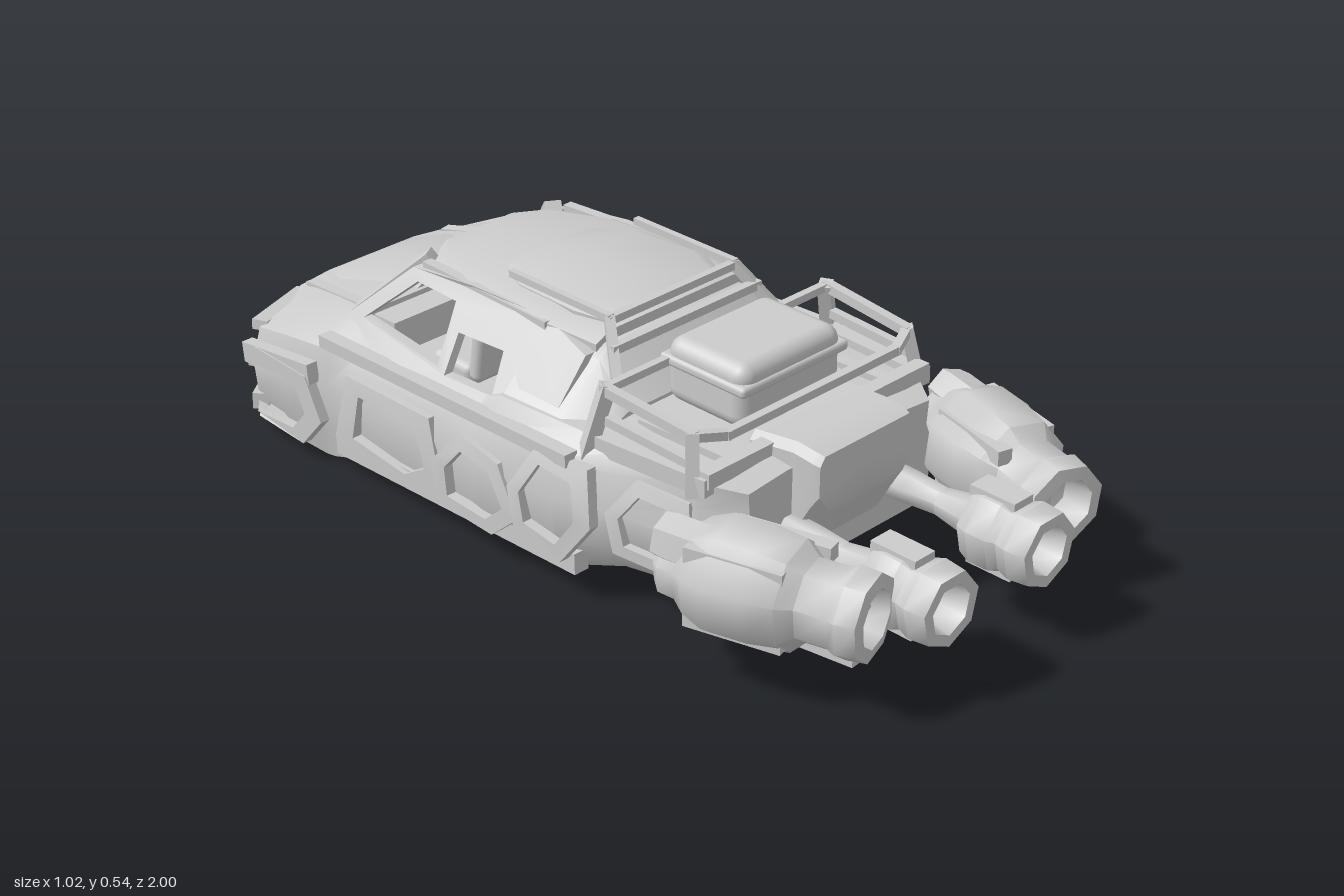
import * as THREE from 'three';
import { toCreasedNormals } from 'three/addons/utils/BufferGeometryUtils.js';
import { RoundedBoxGeometry } from 'three/addons/geometries/RoundedBoxGeometry.js';

const grey = new THREE.MeshStandardMaterial({ color: 0xcccccc, side: THREE.DoubleSide });

function add(parent, name, geometry, crease = 0.6) {
  const mesh = new THREE.Mesh(crease ? toCreasedNormals(geometry, crease) : geometry, grey);
  mesh.name = name;
  parent.add(mesh);
  return mesh;
}

// Closed skin through mirrored half sections: [z, [x, y], ...] from bottom centre to top centre
function loft(sections) {
  const pos = [], index = [];
  const rings = sections.map(([z, ...half]) => {
    const back = half.slice(1, -1).reverse().map(([x, y]) => [-x, y]);
    return [...half, ...back].map(([x, y]) => [x, y, z]);
  });
  const n = rings[0].length;
  rings.forEach(r => r.forEach(p => pos.push(...p)));
  for (let k = 0; k < rings.length - 1; k++) {
    for (let i = 0; i < n; i++) {
      const a = k * n + i, b = k * n + (i + 1) % n;
      index.push(a, b, a + n, b, b + n, a + n);
    }
  }
  for (const k of [0, rings.length - 1]) {
    const c = pos.length / 3;
    pos.push(0, rings[k].reduce((s, p) => s + p[1], 0) / n, rings[k][0][2]);
    for (let i = 0; i < n; i++) {
      const a = k * n + i, b = k * n + (i + 1) % n;
      if (k) index.push(c, a, b); else index.push(c, b, a);
    }
  }
  const g = new THREE.BufferGeometry();
  g.setAttribute('position', new THREE.Float32BufferAttribute(pos, 3));
  g.setIndex(index);
  return g;
}

// Hull section: floor half width and height, widest half width, shoulder height, deck edge;
// between the hood and the bulkhead the middle drops into the cabin well
function hullSection([z, wb, yb, w, ys, wt, yt]) {
  const well = z > -.62 && z < -.09;
  const yi = well ? .2 : yt + .01, wi = wt * (well ? .85 : .6);
  return [z, [0, yb], [wb, yb], [w - .01, yb + (ys - yb) * .28], [w, yb + (ys - yb) * .68], [w - .025, ys], [wt, yt], [wi, yi], [0, yi]];
}

// Straight bar between two points
function bar(parent, name, a, b, w = 0.02, h = w) {
  const A = new THREE.Vector3(...a), B = new THREE.Vector3(...b);
  const m = add(parent, name, new THREE.BoxGeometry(w, h, A.distanceTo(B) + w * 0.6));
  m.position.copy(A).lerp(B, 0.5);
  m.lookAt(B);
}

// Side plate drawn in (z, y) with holes; lean(y, z) gives its distance from the centre line
function sidePlate(parent, name, s, outline, holes, lean) {
  const depth = .025, toV = ([z, y]) => new THREE.Vector2(-z, y);
  const shape = new THREE.Shape(outline.map(toV));
  shape.holes = holes.map(h => new THREE.Path(h.map(toV)));
  const g = new THREE.ExtrudeGeometry(shape, { depth, bevelEnabled: false });
  g.rotateY(Math.PI / 2);
  const p = g.attributes.position;
  for (let i = 0; i < p.count; i++) {
    const f = lean(p.getY(i), p.getZ(i));
    p.setX(i, s > 0 ? f + p.getX(i) : -f - depth + p.getX(i));
  }
  add(parent, name, g);
}

// Turned part running from point a towards point b, profile in [radius, distance]
function turned(parent, name, profile, a, b, sides) {
  const g = new THREE.LatheGeometry(profile.map(p => new THREE.Vector2(...p)), sides);
  const m = add(parent, name, g, 0.9);
  m.position.set(...a);
  const along = new THREE.Vector3(...b).sub(m.position).normalize();
  m.quaternion.setFromUnitVectors(new THREE.Vector3(0, 1, 0), along);
}

const scaled = (pts, k) => {
  const c = [0, 1].map(j => pts.reduce((t, p) => t + p[j], 0) / pts.length);
  return pts.map(p => p.map((v, j) => c[j] + (v - c[j]) * k));
};
const slab = (z, w, y, t) => [z, [0, y - t], [w, y - t], [w, y - t / 2], [w * .82, y], [0, y]];
const tail = (z, w, y0, y1) => [z, [0, y0], [w * .8, y0], [w, y0 + .04], [w, y1 - .02], [w * .9, y1], [0, y1]];

export function createModel() {
  const car = new THREE.Group();
  car.name = 'hoverCar';

  // Hull with an open cabin well
  add(car, 'hull', loft([
    [-.975, .16, .05, .20, .17, .15, .20],
    [-.94, .28, .03, .32, .21, .22, .265],
    [-.86, .37, .01, .43, .25, .30, .285],
    [-.75, .40, 0, .435, .27, .30, .31],
    [-.64, .40, 0, .43, .28, .32, .33],
    [-.61, .40, .005, .42, .285, .33, .33],
    [-.53, .39, .025, .42, .285, .34, .33],
    [-.12, .39, .02, .43, .30, .37, .34],
    [-.07, .39, .025, .44, .31, .37, .36],
    [.16, .37, .04, .44, .32, .36, .365],
    [.28, .34, .075, .40, .31, .35, .355],
    [.48, .31, .09, .365, .30, .34, .36],
    [.57, .25, .10, .30, .29, .28, .345],
  ].map(hullSection)), 0.6);

  // Rear of the cabin, roof shell and its raised panel
  const rearCabin = (z, w, y) => [z, [0, .33], [.36, .33], [.36, .36], [w, y - .02], [w * .85, y], [0, y]];
  add(car, 'cabinRear', loft([rearCabin(-.07, .25, .49), rearCabin(.1, .24, .48), rearCabin(.2, .3, .38)]));
  add(car, 'roof', loft([slab(-.54, .12, .48, .025), slab(-.48, .19, .49, .03), slab(-.32, .23, .508, .035),
    slab(-.08, .25, .515, .04), slab(.08, .23, .505, .04)]));
  add(car, 'roofPanel', loft([slab(-.3, .14, .515, .02), slab(-.2, .19, .53, .03), slab(-.02, .20, .537, .035), slab(.06, .17, .525, .03)]));

  // Hood panel, vent, windscreen base and nose guard
  add(car, 'hoodPanel', loft([slab(-.94, .15, .275, .02), slab(-.85, .19, .305, .03), slab(-.7, .16, .335, .03), slab(-.61, .15, .35, .03)]));
  bar(car, 'hoodVent', [-.09, .342, -.70], [.09, .342, -.70], .012, .016);
  bar(car, 'cowl', [-.27, .33, -.625], [.27, .33, -.625], .05, .025);
  bar(car, 'lowerBumper', [-.16, .065, -.97], [.16, .065, -.97], .04, .045);
  bar(car, 'guardTop', [-.15, .20, -.985], [.15, .20, -.985], .028);
  bar(car, 'guardBottom', [-.11, .105, -.985], [.11, .105, -.985], .028);

  // Dashboard and seats
  bar(car, 'dashboard', [-.25, .29, -.57], [.25, .29, -.57], .08);
  for (const z of [-.38, -.17]) for (const s of [-1, 1]) {
    const seat = add(car, 'seat', new RoundedBoxGeometry(.16, .06, .13, 2, .02), 0);
    seat.position.set(s * .13, .23, z - .04);
    const back = add(car, 'seatBack', new RoundedBoxGeometry(.15, .16, .04, 2, .018), 0);
    back.position.set(s * .13, .30, z + .04);
    back.rotation.x = .15;
  }

  for (const s of [-1, 1]) {
    const P = (x, y, z) => [s * x, y, z];

    // Window frames leaning in towards the roof
    sidePlate(car, 'windowFrame', s,
      [[-.66, .315], [-.5, .47], [-.3, .495], [-.06, .50], [.08, .47], [.08, .34], [-.1, .325], [-.4, .32]],
      [[[-.58, .345], [-.46, .455], [-.32, .46], [-.28, .35]], [[-.25, .34], [-.27, .415], [-.13, .42], [-.10, .345]]],
      (y, z) => .355 - (y - .33) * .85 - Math.max(0, -z - .4) * .25);
    bar(car, 'pillar', P(.28, .325, -.645), P(.19, .475, -.50), .04, .03);
    bar(car, 'dripRail', P(.215, .475, -.47), P(.24, .485, -.06), .025);

    // Recessed door, wheel-bay and quarter frames
    const sideFrame = (name, pts, x) => sidePlate(car, name, s, pts, [scaled(pts, .68)], (y, z) => x(z) - Math.max(0, y - .24) * .4);
    sideFrame('frontBayFrame', [[-.92, .07], [-.85, .03], [-.66, .04], [-.59, .12], [-.64, .22], [-.82, .23], [-.92, .17]],
      z => .428 + Math.min(0, z + .83) * 1.1);
    sideFrame('frontDoorFrame', [[-.56, .09], [-.3, .06], [-.2, .12], [-.24, .26], [-.52, .26]], () => .412);
    sideFrame('rearDoorFrame', [[-.2, .08], [-.02, .07], [.06, .14], [0, .25], [-.13, .27], [-.21, .18]], () => .425);
    sideFrame('quarterFrame', [[.06, .12], [.2, .10], [.27, .2], [.24, .32], [.1, .33], [.04, .22]], z => .432 - Math.max(0, z - .2) * .3);
    sideFrame('rearBayFrame', [[.31, .15], [.44, .14], [.5, .2], [.47, .31], [.34, .32], [.29, .24]], z => .39 - (z - .28) * .2);
    bar(car, 'sill', P(.405, .065, -.56), P(.405, .085, .2), .04, .05);
    bar(car, 'beltRail', P(.395, .30, -.62), P(.41, .325, .18), .035, .03);

    // Head lamp surrounds, bumper corner, fender edge and guard sides
    bar(car, 'headlampHood', P(.21, .235, -.95), P(.39, .25, -.87), .04, .025);
    bar(car, 'headlampSill', P(.22, .165, -.955), P(.42, .17, -.865), .03);
    bar(car, 'bumperFront', P(.16, .065, -.97), P(.31, .065, -.935), .045);
    bar(car, 'bumperCorner', P(.31, .065, -.935), P(.42, .07, -.85), .04);
    bar(car, 'fenderEdge', P(.435, .20, -.86), P(.435, .225, -.64), .03, .05);
    bar(car, 'guardSide', P(.15, .20, -.985), P(.11, .105, -.985), .028);
    bar(car, 'hoodRidge', P(.21, .275, -.9), P(.26, .325, -.64), .03, .025);

    // Roof rails
    bar(car, 'roofRail', P(.19, .535, -.22), P(.19, .535, .08), .016);
    bar(car, 'hoopLeg', P(.19, .53, .08), P(.24, .44, .15), .022);

    // Cargo rack sides
    bar(car, 'rackRail', P(.34, .475, .22), P(.33, .455, .46), .022);
    bar(car, 'rackLowerRail', P(.345, .41, .24), P(.34, .40, .47), .02);
    bar(car, 'rackFrontPost', P(.335, .475, .22), P(.375, .33, .2), .03);
    bar(car, 'rackRearPost', P(.33, .455, .46), P(.35, .34, .48), .028);
    bar(car, 'rackCorner', P(.33, .455, .46), P(.26, .445, .49), .02);
    bar(car, 'bedWall', P(.35, .355, .23), P(.33, .36, .5), .04);
    bar(car, 'bedBrace', P(.24, .36, .24), P(.24, .37, .5), .03);

    // Outer thruster pod with hollow nozzle
    turned(car, 'outerThruster', [[0, .03], [.055, 0], [.08, .02], [.085, .06], [.11, .09], [.13, .14], [.13, .23], [.12, .30],
      [.09, .33], [.09, .40], [.10, .42], [.095, .465], [.065, .47], [.05, .40], [0, .39]], P(.425, .225, .48), P(.295, .225, .95), 8);
    for (let i = 0; i < 4; i++) {
      const t = (i + .5) * Math.PI / 2, c = Math.cos(t) * .1, d = Math.sin(t) * .105;
      bar(car, 'thrusterRib', P(.393 + c, .225 + d, .59), P(.34 + c, .225 + d, .78), .035);
    }
    turned(car, 'thrusterIntake', [[0, .02], [.05, 0], [.055, .03], [.055, .12]], P(.44, .285, .485), P(.39, .275, .7), 6);
    bar(car, 'thrusterFin', P(.32, .12, .74), P(.305, .125, .88), .03, .05);

    // Inner thruster on its arm
    turned(car, 'innerThruster', [[0, 0], [.04, 0], [.038, .1], [.032, .18], [.045, .26], [.08, .28], [.092, .31], [.092, .36],
      [.08, .38], [.09, .41], [.085, .46], [.058, .46], [.045, .39], [0, .38]], P(.155, .21, .54), P(.155, .21, 1), 7);
    for (const y of [.13, .29]) bar(car, 'nozzleLug', P(.155, y, .83), P(.155, y, .91), .06, .025);
    bar(car, 'thrusterLink', P(.16, .21, .87), P(.31, .22, .84), .06, .08);
    bar(car, 'thrusterMount', P(.28, .22, .46), P(.39, .22, .56), .08, .09);
  }

  // Cross bars behind the roof and around the cargo bed
  bar(car, 'roofHoop', [-.19, .53, .08], [.19, .53, .08], .018);
  bar(car, 'rearHoop', [-.22, .485, .12], [.22, .485, .12], .02);
  bar(car, 'rackFrontBar', [-.335, .475, .22], [.335, .475, .22], .018);
  bar(car, 'rackRearBar', [-.26, .445, .49], [.26, .445, .49], .02);
  bar(car, 'tailRail', [-.33, .375, .5], [.33, .375, .5], .035);

  // Cargo box and tail block
  add(car, 'cargoBox', new RoundedBoxGeometry(.31, .15, .23, 3, .035), 0).position.set(0, .45, .32);
  add(car, 'cargoBand', new RoundedBoxGeometry(.325, .025, .245, 2, .01), 0).position.set(0, .475, .32);
  add(car, 'tailBlock', loft([tail(.46, .16, .12, .40), tail(.57, .15, .15, .41), tail(.62, .15, .24, .405), tail(.64, .145, .27, .40)]));
  return car;
}
